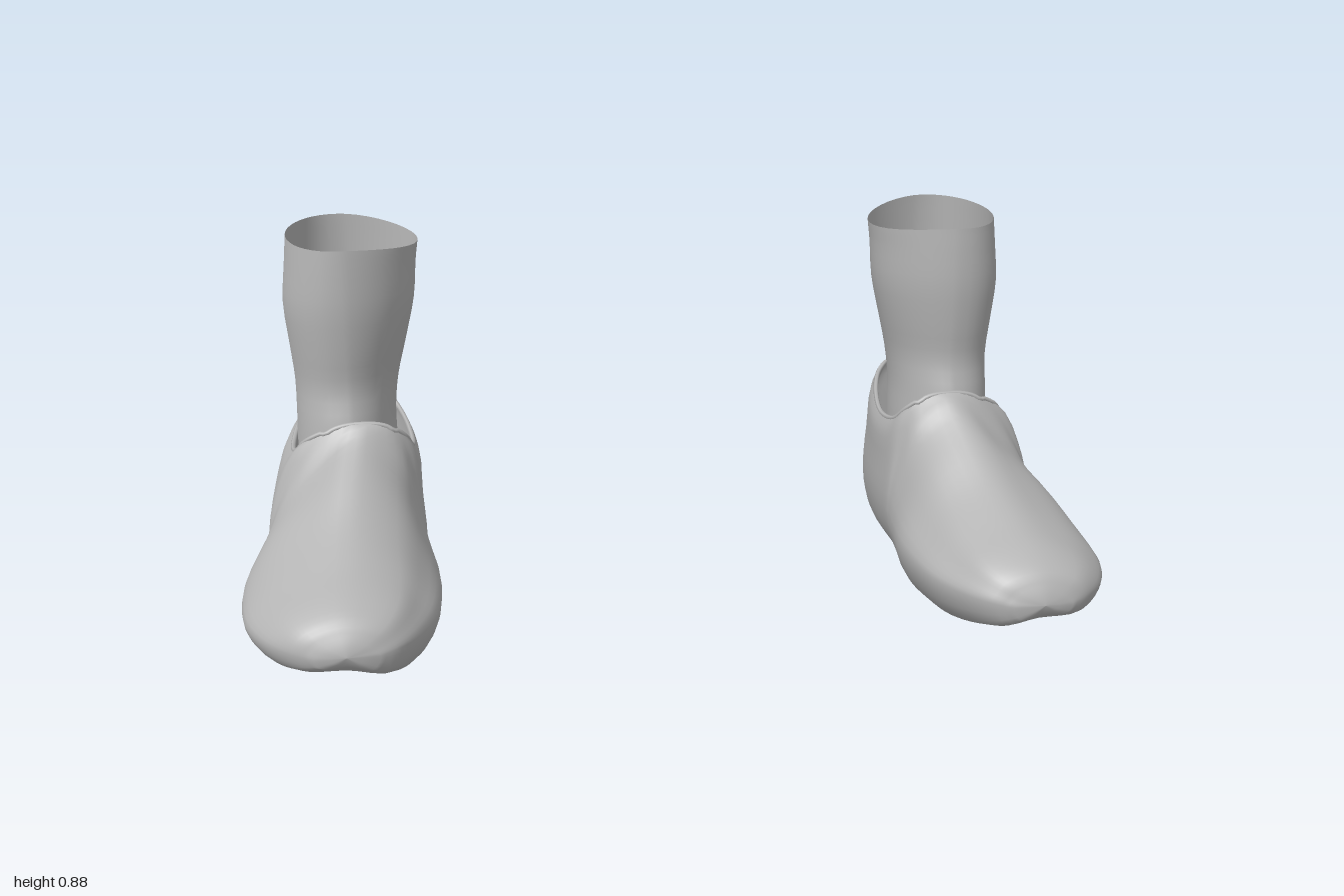
import * as THREE from 'three';

const grey = new THREE.MeshStandardMaterial({ color: 0xb4b4b4, side: THREE.DoubleSide });
grey.name = 'plain grey';
const V = (x, y, z) => new THREE.Vector3(x, y, z);
const lerp = THREE.MathUtils.lerp;

// Skin closed rings of points; keep(i, j) can leave quads out
function loft(rows, side, keep = () => true) {
  const n = rows[0].length, pos = [], idx = [];
  rows.forEach(r => r.forEach(p => pos.push(side * p.x, p.y, p.z)));
  for (let i = 0; i < rows.length - 1; i++) {
    for (let j = 0; j < n; j++) {
      if (!keep(i, j)) continue;
      const k = (j + 1) % n;
      const a = i * n + j, b = i * n + k, c = a + n, d = b + n;
      if (side > 0) idx.push(a, b, c, b, d, c);
      else idx.push(a, c, b, b, c, d);
    }
  }
  const g = new THREE.BufferGeometry();
  g.setAttribute('position', new THREE.Float32BufferAttribute(pos, 3));
  g.setIndex(idx);
  g.computeVertexNormals();
  return g;
}

// A ring shrunk to its centre, to close an end
function shrink(ring, dz, dy, s) {
  const c = ring.reduce((a, p) => a.add(p), V(0, 0, 0)).divideScalar(ring.length);
  return ring.map(p => p.clone().lerp(c, s).add(V(0, dy, dz)));
}

// Shoe stations, toe to heel: z, inner x, outer x, sole y, top y, top inner x, top outer x
const STATIONS = [
  [0.485, 0.70, 0.84, 0.075, 0.14, 0.73, 0.81],
  [0.46, 0.655, 0.885, 0.055, 0.175, 0.69, 0.85],
  [0.40, 0.61, 0.94, 0.035, 0.207, 0.66, 0.87],
  [0.30, 0.57, 0.985, 0.015, 0.24, 0.65, 0.87],
  [0.18, 0.555, 1.0, 0.003, 0.29, 0.65, 0.86],
  [0.08, 0.555, 0.995, 0, 0.35, 0.645, 0.845],
  [-0.02, 0.57, 0.965, 0.012, 0.415, 0.64, 0.82],
  [-0.06, 0.575, 0.95, 0.018, 0.45, 0.64, 0.80],
  [-0.08, 0.577, 0.945, 0.02, 0.41, 0.615, 0.845],
  [-0.12, 0.58, 0.94, 0.022, 0.375, 0.60, 0.87],
  [-0.22, 0.585, 0.93, 0.022, 0.36, 0.595, 0.88],
  [-0.32, 0.595, 0.92, 0.02, 0.385, 0.61, 0.865],
  [-0.40, 0.61, 0.895, 0.025, 0.415, 0.64, 0.83],
  [-0.435, 0.62, 0.87, 0.035, 0.43, 0.67, 0.80],
  [-0.46, 0.63, 0.86, 0.045, 0.32, 0.65, 0.83],
  [-0.48, 0.65, 0.84, 0.06, 0.20, 0.66, 0.83],
  [-0.493, 0.68, 0.81, 0.08, 0.12, 0.69, 0.80],
];
const OPEN_FRONT = 7, OPEN_BACK = 13; // stations bounding the foot opening
const ALONG = 4, AROUND = 4;          // subdivisions between control points

// Ten control points round one section, from the top over the outer side
function section([z, xi, xo, b, t, ti, to]) {
  const yw = Math.min(0.11, lerp(b, t, 0.45));
  const crown = z > -0.05 ? 0.15 * (t - b) : z > -0.07 ? 0.02 : 0;
  const bulge = 0.08 * (t - b), yc = t - crown, ym = lerp(yw, yc, 0.52);
  const tilt = 0.35 * (yw - b);
  return [
    V((ti + to) / 2, t, z),
    V(to, yc, z),
    V(lerp(xo, to, 0.5) + bulge, ym, z),
    V(xo, yw, z),
    V(lerp(xo, xi, 0.09), b + tilt, z),
    V((xi + xo) / 2, b + 0.01, z),
    V(lerp(xi, xo, 0.12), b, z),
    V(xi, yw, z),
    V(lerp(xi, ti, 0.5) - bulge * 0.4, ym, z),
    V(ti, yc, z),
  ];
}

function makeShoe(side) {
  const group = new THREE.Group();
  group.name = 'shoe';

  // Smooth the control points along the foot, then round each section
  const cage = STATIONS.map(section);
  const rails = cage[0].map((_, k) => new THREE.CatmullRomCurve3(cage.map(s => s[k])));
  const steps = (STATIONS.length - 1) * ALONG, n = 10 * AROUND;
  const rings = [];
  for (let i = 0; i <= steps; i++) {
    const ring = new THREE.CatmullRomCurve3(rails.map(r => r.getPoint(i / steps)), true);
    rings.push(Array.from({ length: n }, (_, j) => ring.getPoint(j / n)));
  }
  const f = OPEN_FRONT * ALONG, r = OPEN_BACK * ALONG;
  const first = rings[0], last = rings[steps];
  const rows = [
    shrink(first, 0.01, 0, 1), shrink(first, 0.007, 0, 0.5), ...rings,
    shrink(last, -0.002, 0, 0.5), shrink(last, -0.002, 0, 1),
  ];
  const isTop = j => j < AROUND || j >= n - AROUND;
  const upper = new THREE.Mesh(
    loft(rows, side, (i, j) => !(isTop(j) && i - 2 >= f && i - 2 < r)), grey);
  upper.name = 'shoeUpperAndSole';
  group.add(upper);

  // Rolled edge round the foot opening
  const edge = [];
  for (let j = -AROUND; j <= AROUND; j++) edge.push(rings[f][(j + n) % n]);
  for (let i = f + 1; i < r; i++) edge.push(rings[i][AROUND]);
  for (let j = AROUND; j >= -AROUND; j--) edge.push(rings[r][(j + n) % n]);
  for (let i = r - 1; i > f; i--) edge.push(rings[i][n - AROUND]);
  const path = new THREE.CatmullRomCurve3(edge.map(p => V(side * p.x, p.y - 0.004, p.z)), true);
  const collar = new THREE.Mesh(new THREE.TubeGeometry(path, 120, 0.006, 6, true), grey);
  collar.name = 'collarEdge';
  group.add(collar);
  return group;
}

// Leg levels, top to bottom: y, inner x, outer x, front z, back z
const LEG = [
  [0.862, 0.56, 0.87, -0.10, -0.43],
  [0.79, 0.567, 0.877, -0.096, -0.434],
  [0.70, 0.575, 0.885, -0.093, -0.437],
  [0.60, 0.598, 0.876, -0.10, -0.433],
  [0.51, 0.62, 0.868, -0.108, -0.43],
  [0.43, 0.63, 0.868, -0.09, -0.43],
  [0.34, 0.63, 0.87, -0.08, -0.428],
  [0.20, 0.64, 0.865, -0.08, -0.425],
  [0.13, 0.67, 0.84, -0.11, -0.41],
];

function makeLeg(side) {
  const n = 40;
  const level = ([y, xi, xo, zf, zb], row) => Array.from({ length: n }, (_, j) => {
    const a = j / n * Math.PI * 2, c = Math.cos(a), s = Math.sin(a);
    const cx = 0.745; // inner side is drawn out to a soft ridge
    const x = c > 0 ? cx + (xo - cx) * c ** 0.9 : cx - (cx - xi) * (-c) ** 1.2;
    const wave = row === 0 ? -0.013 * s - 0.022 * Math.max(0, -c) ** 2 : 0;
    return V(x, y + wave, (zf + zb) / 2 + (zf - zb) / 2 * s);
  });
  const levels = LEG.map(level);
  const rails = levels[0].map((_, j) => new THREE.CatmullRomCurve3(levels.map(l => l[j])));
  const steps = (LEG.length - 1) * 3, rows = [];
  for (let i = 0; i <= steps; i++) rows.push(rails.map(r => r.getPoint(i / steps)));
  rows.push(shrink(rows[steps], 0, -0.01, 1));
  const leg = new THREE.Mesh(loft(rows, side), grey);
  leg.name = 'ankle';
  return leg;
}

export function createModel() {
  const model = new THREE.Group();
  model.name = 'pairOfShoes';
  for (const side of [1, -1]) {
    const foot = new THREE.Group();
    foot.name = side > 0 ? 'leftFoot' : 'rightFoot';
    foot.add(makeShoe(side), makeLeg(side));
    model.add(foot);
  }
  return model;
}
